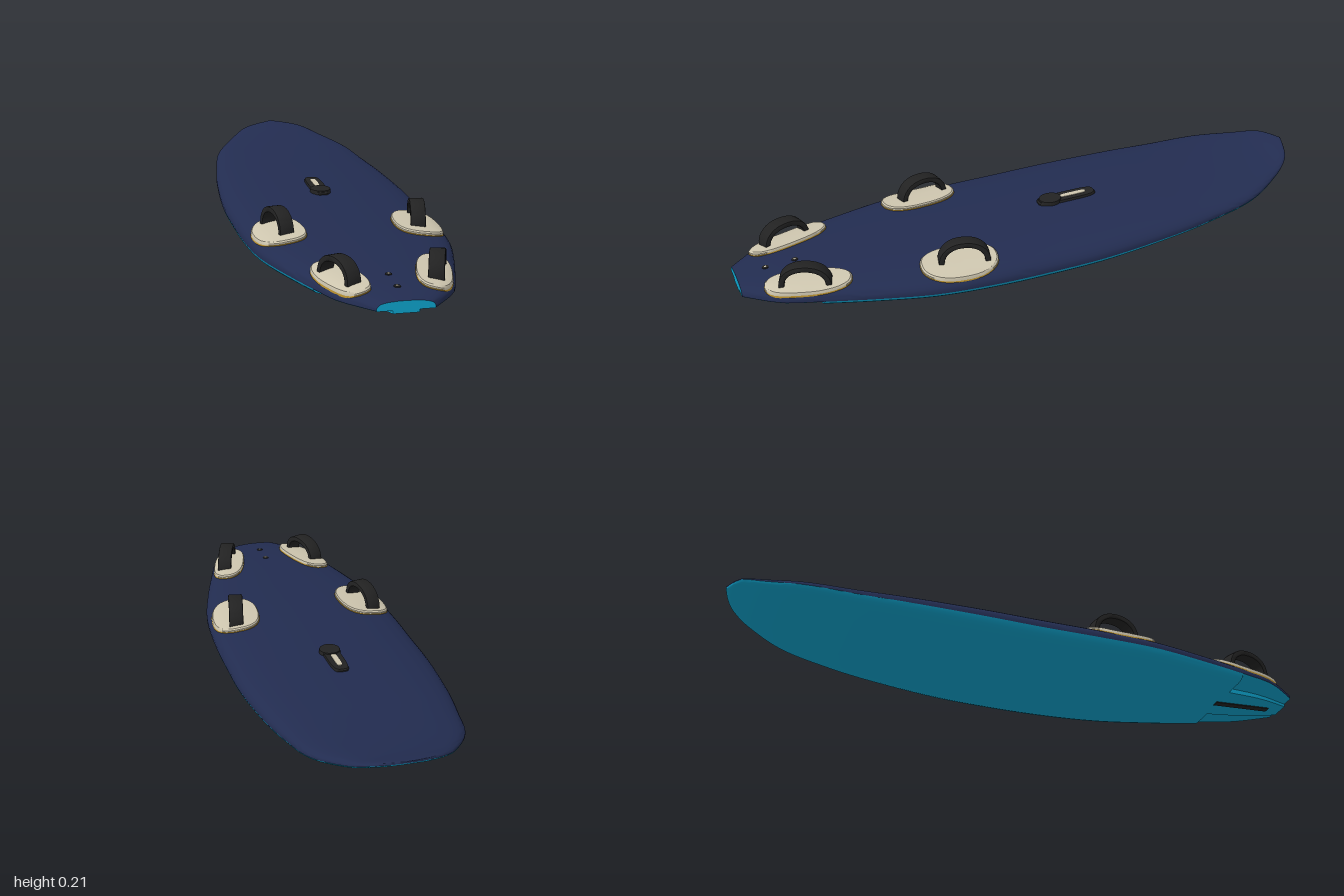
import * as THREE from 'three';
import { toCreasedNormals } from 'three/addons/utils/BufferGeometryUtils.js';

const mat = (name, color) => {
  const m = new THREE.MeshStandardMaterial({ color });
  m.name = name;
  return m;
};

// Board outline: z, half width, bottom height, deck height
const STATIONS = [
  [-1, 0, 0.200, 0.209], [-0.985, 0.06, 0.190, 0.205], [-0.96, 0.116, 0.178, 0.198],
  [-0.9, 0.172, 0.150, 0.181], [-0.77, 0.25, 0.112, 0.160], [-0.6, 0.288, 0.079, 0.144],
  [-0.45, 0.312, 0.058, 0.135], [-0.2, 0.334, 0.030, 0.120], [0, 0.336, 0.015, 0.109],
  [0.2, 0.334, 0.007, 0.099], [0.4, 0.319, 0.004, 0.089], [0.58, 0.277, 0.003, 0.079],
  [0.78, 0.218, 0.003, 0.067], [0.89, 0.178, 0.003, 0.057], [1, 0.09, 0.003, 0.041],
];

// Cross-section halves, as fractions of half width and thickness
const DECK = [[1, 0.3], [1, 0.42], [0.985, 0.52], [0.96, 0.62], [0.92, 0.71], [0.86, 0.79],
  [0.75, 0.87], [0.6, 0.93], [0.3, 0.985], [0, 1]];
const BOTTOM = [[1, 0.3], [0.99, 0.2], [0.96, 0.11], [0.9, 0.04], [0.8, 0], [0.45, 0], [0.45, 0], [0, 0]];
const CUTOUT = [[1, 0.3], [0.99, 0.27], [0.96, 0.25], [0.9, 0.25], [0.8, 0.25], [0.45, 0.25], [0.45, 0], [0, 0]];
const STEP_Z = 0.76;

// Smooth interpolation between stations
function station(z) {
  const S = STATIONS, n = S.length - 1;
  let i = 0;
  while (i < n - 1 && z > S[i + 1][0]) i++;
  const d = S[i + 1][0] - S[i][0], t = THREE.MathUtils.clamp((z - S[i][0]) / d, 0, 1);
  const slope = (k, c) => {
    const a = Math.max(k - 1, 0), b = Math.min(k + 1, n);
    return (S[b][c] - S[a][c]) / (S[b][0] - S[a][0]);
  };
  const value = (c) => {
    const t2 = t * t, t3 = t2 * t;
    return (2 * t3 - 3 * t2 + 1) * S[i][c] + (t3 - 2 * t2 + t) * d * slope(i, c)
      + (3 * t2 - 2 * t3) * S[i + 1][c] + (t3 - t2) * d * slope(i + 1, c);
  };
  return { w: Math.max(0, value(1)), low: value(2), high: value(3) };
}

// Full cross-section from right rail to left rail
function section(z, half) {
  const { w, low, high } = station(z);
  const left = half.slice(0, -1).reverse();
  return [...half.map(([u, v]) => [-u, v]), ...left]
    .map(([u, v]) => [u * w, low + v * (high - low), z]);
}

// Height of the deck surface at a point
function deckY(x, z) {
  const { w, low, high } = station(z);
  const u = Math.min(Math.abs(x) / w, 1);
  let i = DECK.length - 2;
  while (u > DECK[i][0]) i--;
  const [u0, v0] = DECK[i + 1], [u1, v1] = DECK[i];
  return low + (v0 + (v1 - v0) * (u - u0) / (u1 - u0)) * (high - low);
}

// Skin over equal-length cross-sections
function loft(rows, flip, crease) {
  const n = rows[0].length, index = [];
  for (let i = 0; i < rows.length - 1; i++) {
    for (let j = 0; j < n - 1; j++) {
      const a = i * n + j, b = a + n, c = a + 1, d = b + 1;
      if (flip) index.push(a, c, b, b, c, d);
      else index.push(a, b, c, b, d, c);
    }
  }
  const g = new THREE.BufferGeometry();
  g.setAttribute('position', new THREE.Float32BufferAttribute(rows.flat(2), 3));
  g.setIndex(index);
  return toCreasedNormals(g, crease);
}

// Rounded plate that follows the deck; power sets how square its outline is
function plate(x, z, a, b, power, turn, y0, y1) {
  const profile = [[1, 0], [1, 0.6], [0.96, 1], [0.75, 1], [0.5, 1], [0.25, 1], [0, 1]]
    .map(([r, y]) => new THREE.Vector2(r, y));
  const g = new THREE.LatheGeometry(profile, 40);
  const p = g.attributes.position, cos = Math.cos(turn), sin = Math.sin(turn);
  for (let i = 0; i < p.count; i++) {
    const px = p.getX(i), pz = p.getZ(i), r = Math.hypot(px, pz);
    // The centre point stays put, as it has no direction to scale along
    const f = r > 0 ? (Math.abs(px / r) ** power + Math.abs(pz / r) ** power) ** (-1 / power) : 1;
    const lx = px * f * a, lz = pz * f * b;
    const wx = x + lx * cos + lz * sin, wz = z - lx * sin + lz * cos;
    p.setXYZ(i, wx, deckY(wx, wz) + y0 + p.getY(i) * (y1 - y0), wz);
  }
  return toCreasedNormals(g, 0.6);
}

// Arched foot strap, running along z
function strapGeometry(halfLength, height, width) {
  const arc = (l, h, from, to) => Array.from({ length: 25 }, (_, i) => {
    const t = from + (to - from) * i / 24, s = Math.max(0, Math.sin(t)), c = Math.cos(t);
    return new THREE.Vector2(l * Math.sign(c) * Math.abs(c) ** 0.9, h * s ** 0.9);
  });
  const foot = (x) => new THREE.Vector2(x, -0.012);
  const o = halfLength - 0.004, k = o - 0.011;
  const shape = new THREE.Shape([foot(o), ...arc(o, height - 0.004, 0, Math.PI), foot(-o),
    foot(-k), ...arc(k, height - 0.015, Math.PI, 0), foot(k)]);
  const bevel = 0.004;
  const g = new THREE.ExtrudeGeometry(shape, {
    depth: width - 2 * bevel, bevelThickness: bevel, bevelSize: bevel, bevelSegments: 2,
  });
  g.translate(0, 0, -width / 2 + bevel);
  g.rotateY(Math.PI / 2);
  return toCreasedNormals(g, 0.6);
}

export function createModel() {
  const navy = mat('navy deck', 0x222c50), cyan = mat('cyan hull', 0x0ea5cf);
  const beige = mat('beige pad', 0xcdc5ae), gold = mat('gold trim', 0xb8902f);
  const black = mat('black rubber', 0x222222);
  const group = new THREE.Group();
  const add = (name, geometry, material, parent = group) => {
    const mesh = new THREE.Mesh(geometry, material);
    mesh.name = name;
    parent.add(mesh);
    return mesh;
  };

  // Hull: deck shell, underside with tail cutouts, flat tail end
  const zs = Array.from({ length: 73 }, (_, i) => -1 + 2 * (i / 72) ** 1.5);
  add('deck', loft(zs.map((z) => section(z, DECK)), false, 0.9), navy);
  const under = [
    ...zs.filter((z) => z < STEP_Z).map((z) => section(z, BOTTOM)),
    section(STEP_Z, BOTTOM), section(STEP_Z, CUTOUT),
    ...zs.filter((z) => z > STEP_Z).map((z) => section(z, CUTOUT)),
  ];
  add('underside', loft(under, true, 0.7), cyan);
  const outline = [...section(1, DECK), ...section(1, CUTOUT).reverse().slice(1, -1)];
  const tail = new THREE.ShapeGeometry(new THREE.Shape(outline.map(([x, y]) => new THREE.Vector2(x, y))));
  tail.translate(0, 0, 1);
  add('tailEnd', tail, cyan);

  // Foot pads and straps, mirrored
  const feet = [
    { name: 'front', x: 0.235, z: 0.30, a: 0.082, b: 0.130, turn: 0.08, sx: 0.237, sz: 0.283, sturn: 0.2, h: 0.078 },
    { name: 'rear', x: 0.148, z: 0.79, a: 0.057, b: 0.143, turn: 0.27, sx: 0.154, sz: 0.80, sturn: 0.33, h: 0.072 },
  ];
  for (const side of [1, -1]) {
    for (const f of feet) {
      const set = new THREE.Group();
      set.name = f.name + (side > 0 ? 'LeftFootSet' : 'RightFootSet');
      group.add(set);
      const x = side * f.x, turn = -side * f.turn;
      add('padTrim', plate(x, f.z, f.a + 0.001, f.b + 0.001, 2.5, turn, -0.004, 0.007), gold, set);
      add('pad', plate(x, f.z, f.a, f.b, 2.5, turn, 0.002, 0.013), beige, set);
      const strap = add('footStrap', strapGeometry(0.087, f.h, 0.05), black, set);
      strap.position.set(side * f.sx, deckY(f.sx, f.sz) + 0.004, f.sz);
      strap.rotation.y = -side * f.sturn;
    }
  }

  // Mast track
  add('mastTrack', plate(0, -0.17, 0.029, 0.105, 4, 0, -0.003, 0.009), black);
  add('mastFoot', plate(0, -0.11, 0.036, 0.04, 2, 0, -0.003, 0.013), black);
  add('mastSlot', plate(0, -0.195, 0.01, 0.047, 5, 0, 0.004, 0.0105), beige);

  // Fin bolts on the deck and fin box underneath
  for (const z of [0.8, 0.9]) {
    add('finBoltHole', plate(0, z, 0.011, 0.011, 2, 0, -0.003, 0.002), black);
    add('finBolt', plate(0, z, 0.004, 0.004, 2, 0, 0, 0.003), beige);
  }
  const finBox = add('finBox', new THREE.BoxGeometry(0.028, 0.006, 0.2), black);
  finBox.position.set(0, 0.003, 0.85);

  return group;
}
